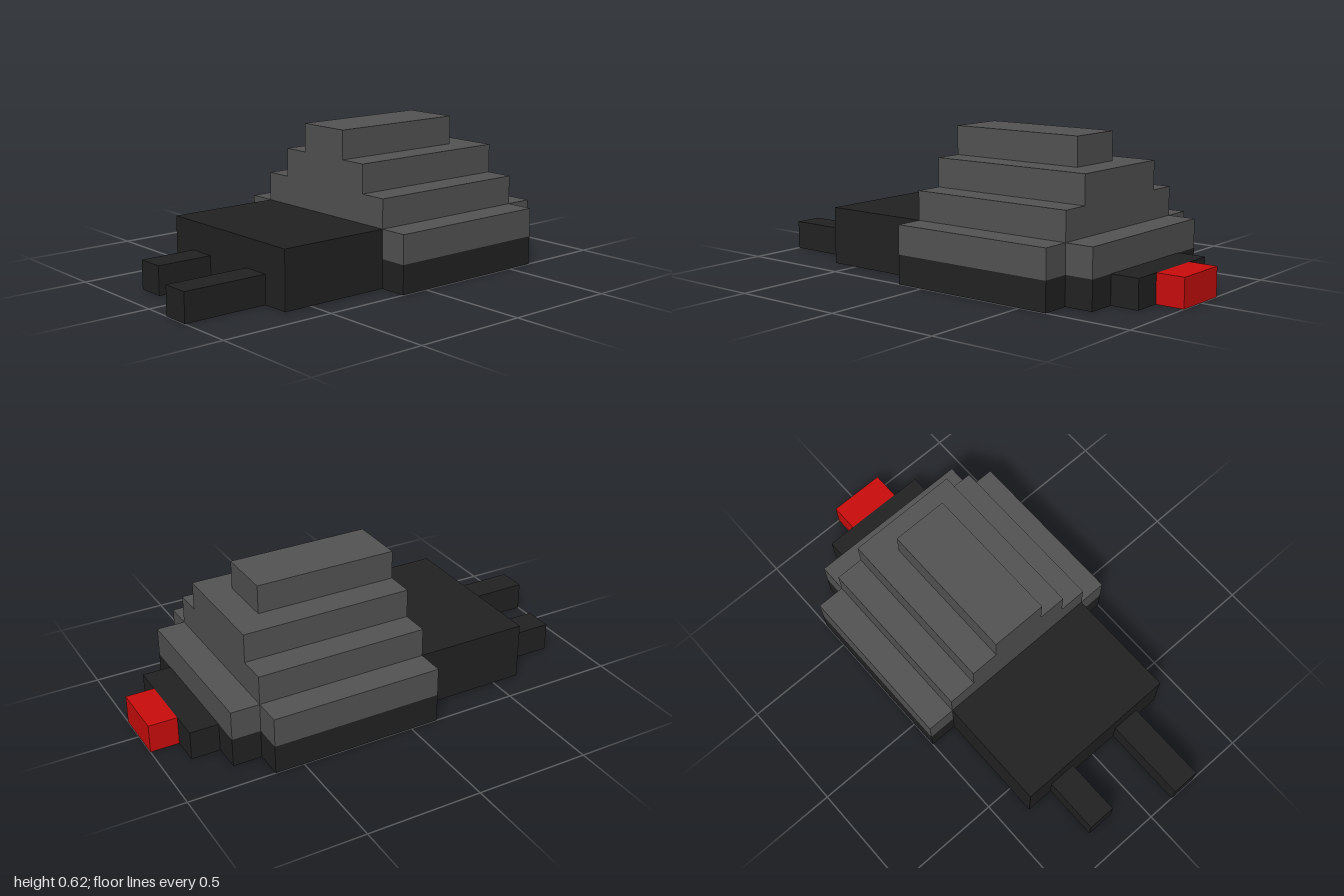
import * as THREE from 'three';

const U = 0.125; // one block

export function createModel() {
  const model = new THREE.Group();
  model.name = 'blockCreature';
  const mat = (name, color) => {
    const m = new THREE.MeshStandardMaterial({ color });
    m.name = name;
    return m;
  };
  const black = mat('black', 0x222222);
  const grey = mat('grey', 0x535353);
  const red = mat('red', 0xcc0c0c);

  // Box given by its block limits along x, y and z
  const box = (name, material, [x0, x1], [y0, y1], [z0, z1]) => {
    const geo = new THREE.BoxGeometry((x1 - x0) * U, (y1 - y0) * U, (z1 - z0) * U);
    const mesh = new THREE.Mesh(geo, material);
    mesh.position.set((x0 + x1) * U / 2, (y0 + y1) * U / 2, (z0 + z1) * U / 2);
    mesh.name = name;
    model.add(mesh);
  };

  // Flat base, narrowing towards the nose
  box('base', black, [-1, 5], [0, 1], [-4, 4]);
  box('baseFront', black, [5, 6], [0, 1], [-3, 3]);
  box('snout', black, [6, 7], [0, 1], [-2, 2]);
  box('nose', red, [7, 8], [0, 1], [-1, 1]);

  // Rear body with two prongs of unequal length
  box('rearBody', black, [-5, -1], [0, 2], [-3, 3]);
  box('leftProng', black, [-8, -5], [0, 1], [1, 2]);
  box('rightProng', black, [-7, -5], [0, 1], [-2, -1]);

  // Stepped shell: front end and half width of each layer
  [[5, 4], [5, 3], [5, 2], [4, 1]].forEach(([end, half], i) =>
    box('shellLayer' + (i + 1), grey, [-1, end], [i + 1, i + 2], [-half, half]));
  box('shellFront', grey, [5, 6], [1, 2], [-3, 3]);

  return model;
}
